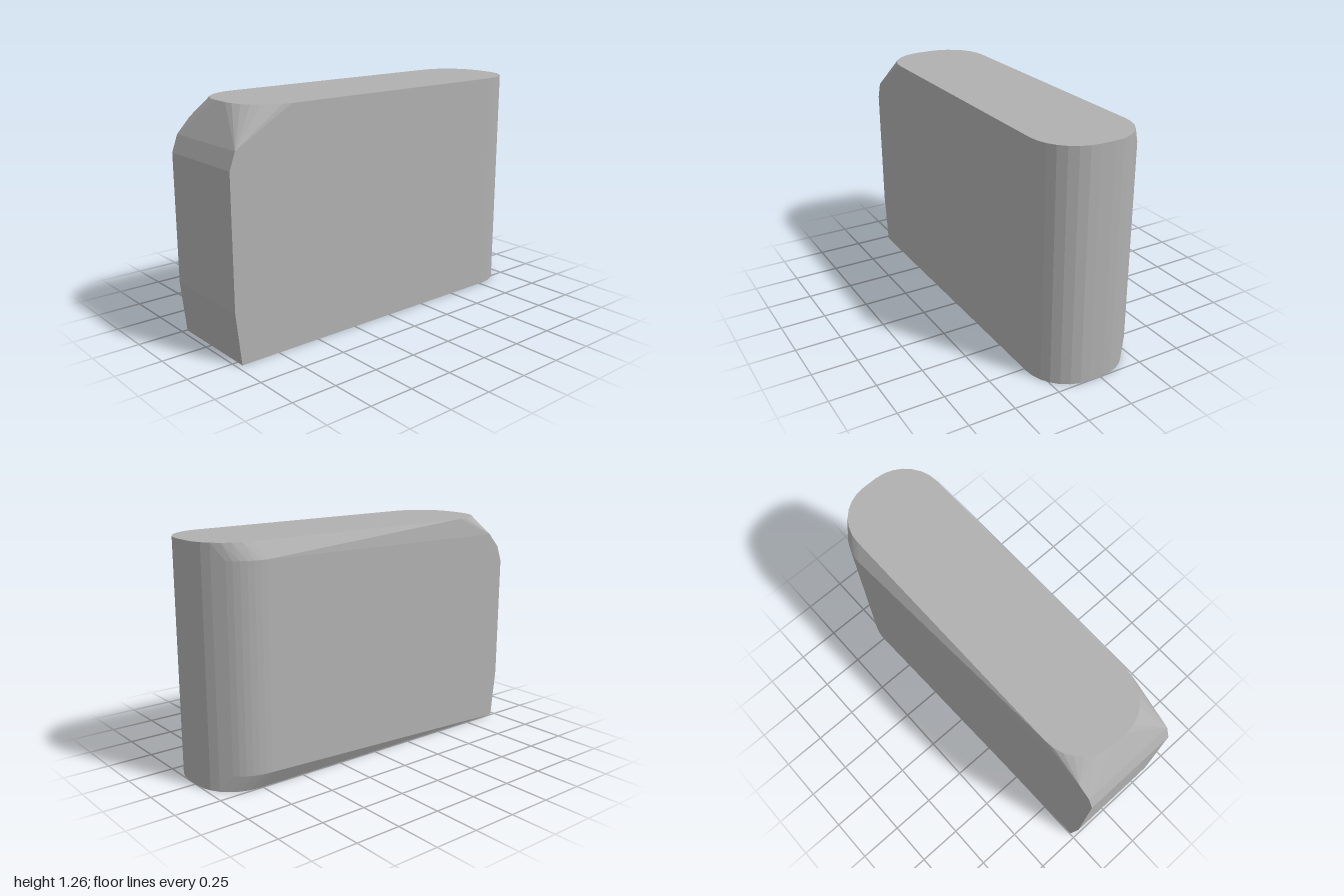
import * as THREE from 'three';
import { ConvexGeometry } from 'three/addons/geometries/ConvexGeometry.js';

const TOP = 1.26, FRONT = 0.295, BACK = -0.245;

// Quarter (or longer) arc of points in a horizontal plane, angle measured from +x towards +z
function arc(cx, cz, r, y, from, to, steps = 7) {
  const pts = [];
  for (let i = 0; i <= steps; i++) {
    const a = THREE.MathUtils.degToRad(from + (to - from) * i / steps);
    pts.push(new THREE.Vector3(cx + r * Math.cos(a), y, cz + r * Math.sin(a)));
  }
  return pts;
}

export function createModel() {
  const group = new THREE.Group();
  const grey = new THREE.MeshStandardMaterial({ color: 0xb0b0b0 });
  grey.name = 'plain grey';

  const r = 0.23;
  const pts = [];

  // Rounded right end, at the bottom and the top
  for (const y of [0, TOP]) {
    pts.push(...arc(1 - r, FRONT - r, r, y, 0, 90));
    pts.push(...arc(1 - r, BACK + r, r, y, -90, 0));
  }

  // Bulged back corner, chamfered towards both ends
  for (const y of [0.09, 1.175]) pts.push(...arc(0.72, -0.045, 0.25, y, -90, -35));

  // Rounded left end of the top face
  pts.push(...arc(-0.87 + r, FRONT - r, r, TOP, 90, 180));
  pts.push(...arc(-0.87 + r, BACK + r, r, TOP, 180, 270));

  // Square left end, tapered at the foot and sloped at the shoulder
  for (const z of [FRONT, BACK]) {
    for (const [x, y] of [[-0.97, 0], [-1, 0.28], [-1, 0.98], [-0.967, 1.07]]) {
      pts.push(new THREE.Vector3(x, y, z));
    }
  }
  // Extra bevel point on the back shoulder
  pts.push(new THREE.Vector3(-0.89, 1.15, -0.248));

  const body = new THREE.Mesh(new ConvexGeometry(pts), grey);
  body.name = 'body';
  group.add(body);
  return group;
}
